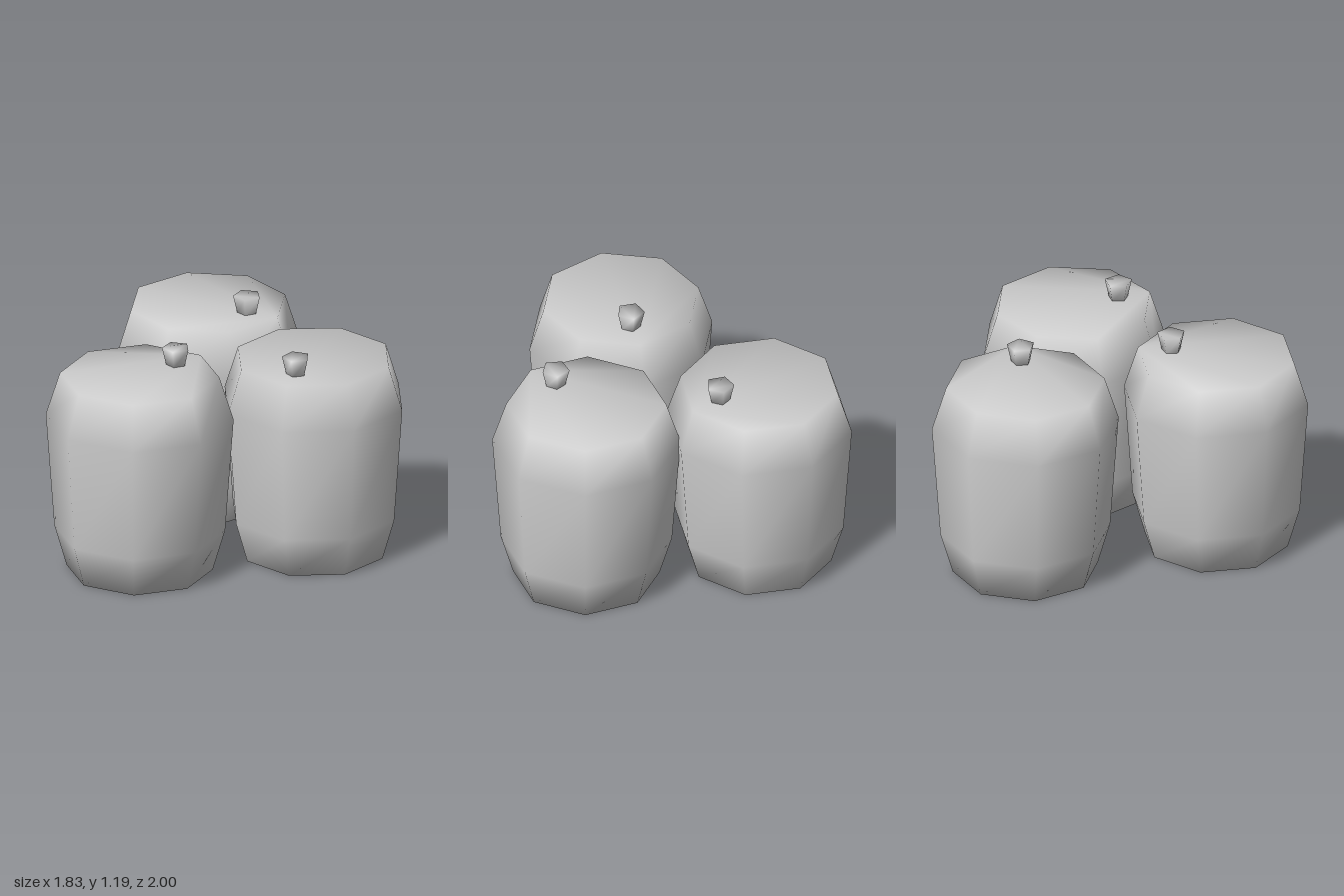
import * as THREE from 'three';

const grey = new THREE.MeshStandardMaterial({ color: 0xcccccc });
grey.name = 'pale grey';

// Closed, smooth-shaded solid from stacked rings of [radius, height]; first corner on +x
function ringSolid(profile, sides) {
  const points = [], index = [];
  for (const [r, y] of profile) {
    for (let i = 0; i < sides; i++) {
      const a = Math.PI / 2 + (i / sides) * Math.PI * 2;
      points.push(r * Math.sin(a), y, r * Math.cos(a));
    }
  }
  // walls
  for (let k = 0; k < profile.length - 1; k++) {
    for (let i = 0; i < sides; i++) {
      const j = (i + 1) % sides;
      const a = k * sides + i, b = k * sides + j;
      index.push(a, b, b + sides, a, b + sides, a + sides);
    }
  }
  // flat caps
  const top = (profile.length - 1) * sides;
  for (let i = 1; i < sides - 1; i++) {
    index.push(0, i + 1, i);
    index.push(top, top + i, top + i + 1);
  }
  const geometry = new THREE.BufferGeometry();
  geometry.setAttribute('position', new THREE.Float32BufferAttribute(points, 3));
  geometry.setIndex(index);
  geometry.computeVertexNormals();
  return geometry;
}

export function createModel() {
  const model = new THREE.Group();
  model.name = 'barrelCluster';

  const bodyGeometry = ringSolid([[0.385, 0], [0.45, 0.225], [0.495, 0.857], [0.42, 1.094]], 8);
  const plugGeometry = ringSolid([[0.052, 1.09], [0.075, 1.19]], 5);

  // x, z and turn in degrees of each barrel
  const places = [[-0.42, -0.505, 0], [0.427, -0.135, -80], [-0.245, 0.53, 70]];
  for (const [x, z, turn] of places) {
    const barrel = new THREE.Group();
    barrel.name = 'barrel';
    const body = new THREE.Mesh(bodyGeometry, grey);
    body.name = 'barrelBody';
    // small tapered plug, off centre on the lid
    const plug = new THREE.Mesh(plugGeometry, grey);
    plug.name = 'plug';
    plug.position.set(0.243, 0, 0.01);
    barrel.add(body, plug);
    barrel.position.set(x, 0, z);
    barrel.rotation.y = THREE.MathUtils.degToRad(turn);
    model.add(barrel);
  }
  return model;
}
